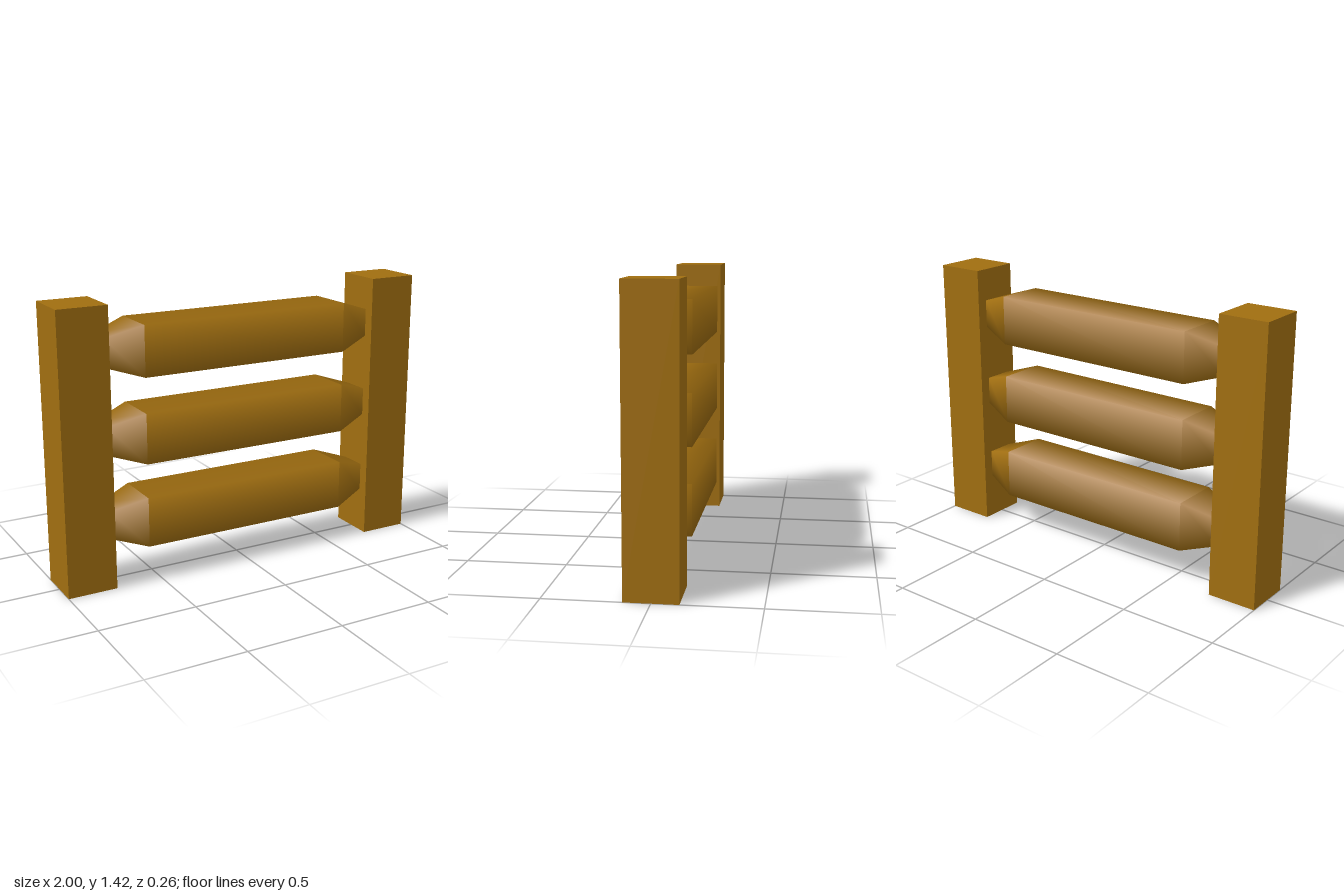
import * as THREE from 'three';

const POST = 0.255, HEIGHT = 1.42, INNER = 0.745, TAPER = 0.565;
const RAIL_HALF = 0.128, END_HALF = 0.072;

export function createModel() {
  const wood = new THREE.MeshStandardMaterial({ color: 0xa06e10 });
  wood.name = 'wood';
  const model = new THREE.Group();
  model.name = 'fence';

  // Square upright posts
  for (const side of [-1, 1]) {
    const post = new THREE.Mesh(new THREE.BoxGeometry(POST, HEIGHT, POST), wood);
    post.name = side > 0 ? 'leftPost' : 'rightPost';
    post.position.set(side * (1 - POST / 2), HEIGHT / 2, 0);
    model.add(post);
  }

  // Four-sided section along x, smooth around, given half widths at -x and +x
  const section = (name, x0, x1, half0, half1) => {
    const geo = new THREE.CylinderGeometry(
      half1 * Math.SQRT2, half0 * Math.SQRT2, x1 - x0, 4, 1, true, Math.PI / 4);
    geo.rotateZ(-Math.PI / 2);
    const mesh = new THREE.Mesh(geo, wood);
    mesh.name = name;
    mesh.position.x = (x0 + x1) / 2;
    return mesh;
  };

  // Three rails with tapered ends
  [['lowerRail', 0.313], ['middleRail', 0.745], ['upperRail', 1.18]].forEach(([name, y]) => {
    const rail = new THREE.Group();
    rail.name = name;
    rail.position.y = y;
    rail.add(
      section('railBody', -TAPER, TAPER, RAIL_HALF, RAIL_HALF),
      section('railRightTaper', -INNER, -TAPER, END_HALF, RAIL_HALF),
      section('railLeftTaper', TAPER, INNER, RAIL_HALF, END_HALF));
    model.add(rail);
  });

  return model;
}
